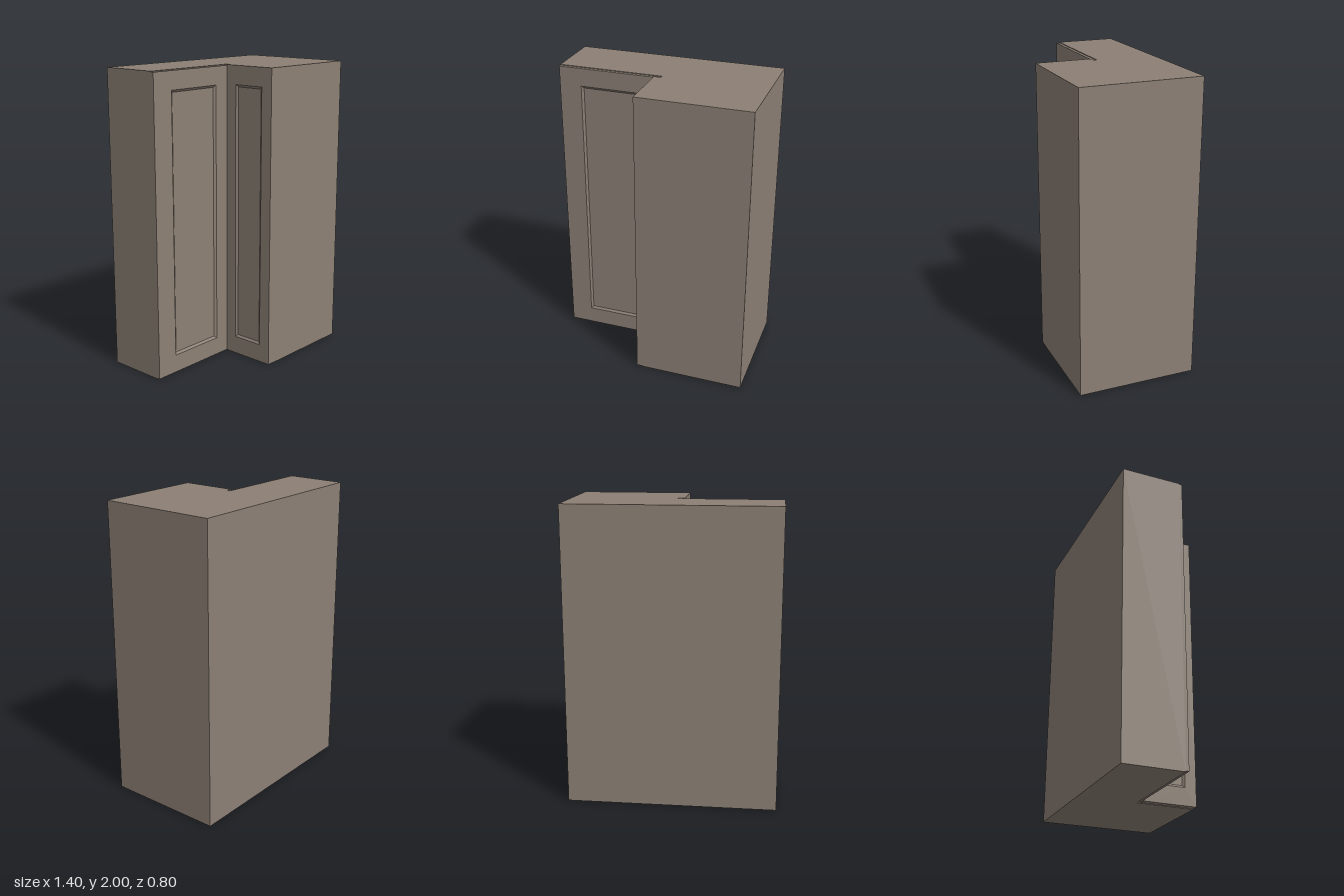
import * as THREE from 'three';

const material = new THREE.MeshStandardMaterial({ color: 0x8c8075 });

// Recessed-panel door lofted through nested rectangles [x0, x1, y0, y1, z], facing +z
function panelDoor(name, x0, x1, y0, y1, thickness, panel) {
  const [p0, p1, q0, q1] = panel;
  const bevel = 0.015, depth = 0.012;
  const rings = [
    [x0, x1, y0, y1, 0],
    [x0, x1, y0, y1, thickness],
    [p0, p1, q0, q1, thickness],
    [p0 + bevel, p1 - bevel, q0 + bevel, q1 - bevel, thickness - depth],
  ].map(([a, b, c, d, z]) => [[a, c, z], [b, c, z], [b, d, z], [a, d, z]]);

  const positions = [];
  const quad = (a, b, c, d) => positions.push(...a, ...b, ...c, ...a, ...c, ...d);
  for (let r = 0; r < rings.length - 1; r++) {
    for (let i = 0; i < 4; i++) {
      const j = (i + 1) % 4;
      quad(rings[r][i], rings[r][j], rings[r + 1][j], rings[r + 1][i]);
    }
  }
  quad(...rings[rings.length - 1]);
  quad(...[...rings[0]].reverse());

  const geometry = new THREE.BufferGeometry();
  geometry.setAttribute('position', new THREE.Float32BufferAttribute(positions, 3));
  geometry.computeVertexNormals();
  const mesh = new THREE.Mesh(geometry, material);
  mesh.name = name;
  return mesh;
}

export function createModel() {
  const group = new THREE.Group();
  group.name = 'cornerCabinet';

  // L-shaped carcass, drawn in plan and extruded upwards
  const plan = new THREE.Shape(
    [[-0.7, 0], [0, 0], [0, -0.4], [0.7, -0.4], [0.7, 0.4], [-0.7, 0.4]]
      .map(([x, y]) => new THREE.Vector2(x, y)));
  const carcassGeometry = new THREE.ExtrudeGeometry(plan, { depth: 2, bevelEnabled: false });
  carcassGeometry.rotateX(-Math.PI / 2);
  const carcass = new THREE.Mesh(carcassGeometry, material);
  carcass.name = 'carcass';
  group.add(carcass);

  // Door on the front of the shallow wing
  group.add(panelDoor('frontDoor', -0.7, 0, 0.005, 1.995, 0.022, [-0.55, -0.15, 0.125, 1.875]));

  // Door on the inner face of the deep wing, turned to face -x
  const sideDoor = panelDoor('sideDoor', 0.022, 0.4, 0.003, 2, 0.045, [0.1, 0.32, 0.125, 1.875]);
  sideDoor.rotation.y = -Math.PI / 2;
  group.add(sideDoor);

  return group;
}
